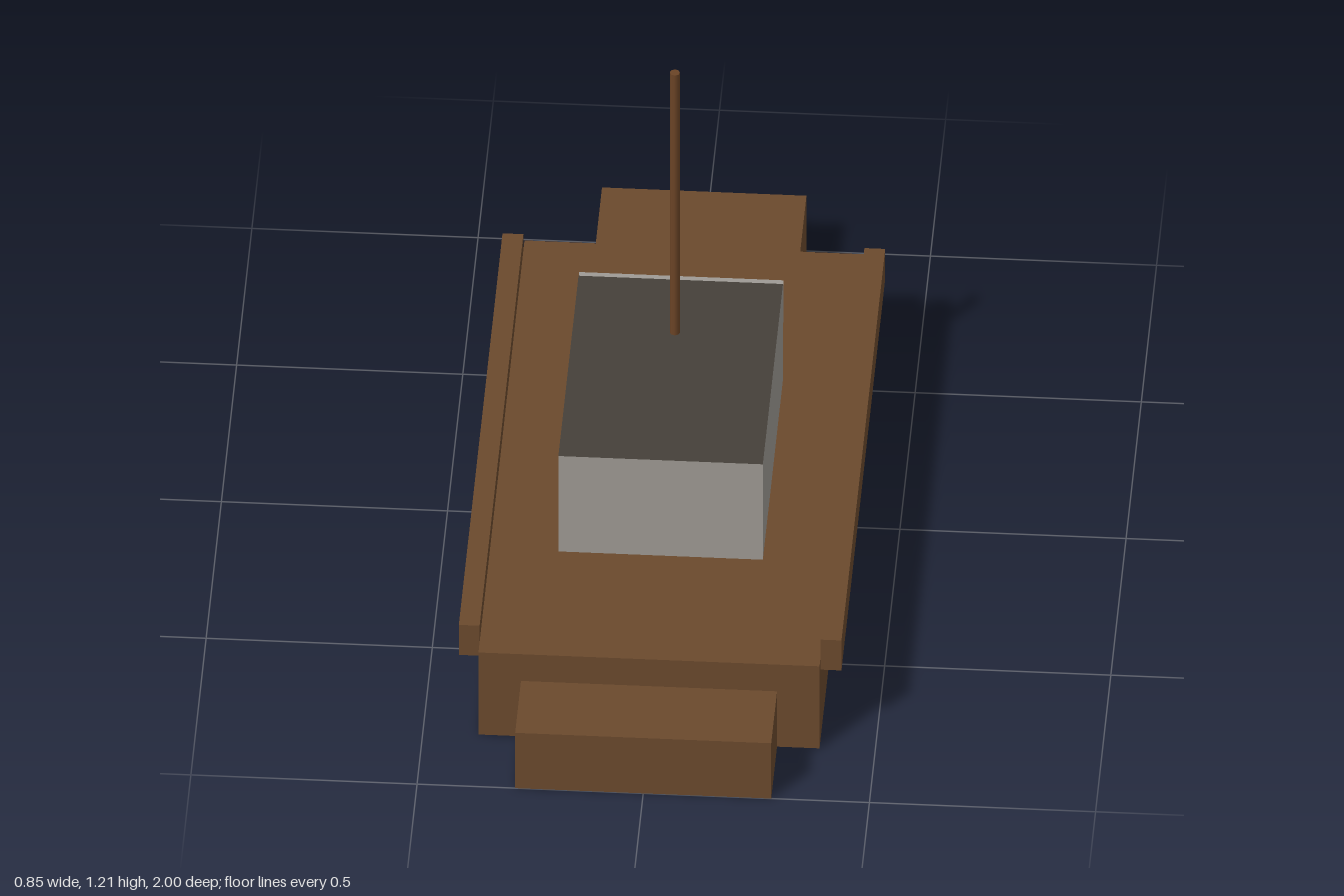
import * as THREE from 'three';

const material = (name, color) => {
  const m = new THREE.MeshStandardMaterial({ color });
  m.name = name;
  return m;
};

export function createModel() {
  const wood = material('brown wood', 0x6b4a2d);
  const mastWood = material('mast wood', 0x6b4426);
  const wall = material('grey wall', 0x9e9a94);
  const roof = material('dark roof', 0x454039);

  const model = new THREE.Group();
  model.name = 'barge';

  // Box given by its limits on each axis
  const box = (name, mat, [x0, x1], [y0, y1], [z0, z1]) => {
    const mesh = new THREE.Mesh(new THREE.BoxGeometry(x1 - x0, y1 - y0, z1 - z0), mat);
    mesh.position.set((x0 + x1) / 2, (y0 + y1) / 2, (z0 + z1) / 2);
    mesh.name = name;
    model.add(mesh);
    return mesh;
  };

  // Hull with its narrower bow and stern blocks
  box('hull', wood, [-0.377, 0.377], [0, 0.227], [-0.698, 0.81]);
  box('bow', wood, [-0.283, 0.283], [0, 0.153], [0.81, 1]);
  box('stern', wood, [-0.226, 0.226], [0, 0.153], [-1, -0.698]);

  // Side rails
  for (const s of [-1, 1]) {
    const xs = s > 0 ? [0.377, 0.423] : [-0.423, -0.377];
    box(s > 0 ? 'leftRail' : 'rightRail', wood, xs, [0.19, 0.273], [-0.66, 0.773]);
  }

  // Cabin: grey walls, dark roof face, and a raised band on the back wall
  box('cabin', [wall, wall, roof, wall, wall, wall], [-0.226, 0.226], [0.227, 0.491], [-0.23, 0.43]);
  box('cabinBackBand', wall, [-0.226, 0.226], [0.378, 0.483], [-0.254, -0.23]);

  // Mast
  const mast = new THREE.Mesh(
    new THREE.CylinderGeometry(0.0113, 0.0113, 0.719, 8).translate(0, 0.8505, -0.038),
    mastWood
  );
  mast.name = 'mast';
  model.add(mast);

  return model;
}
